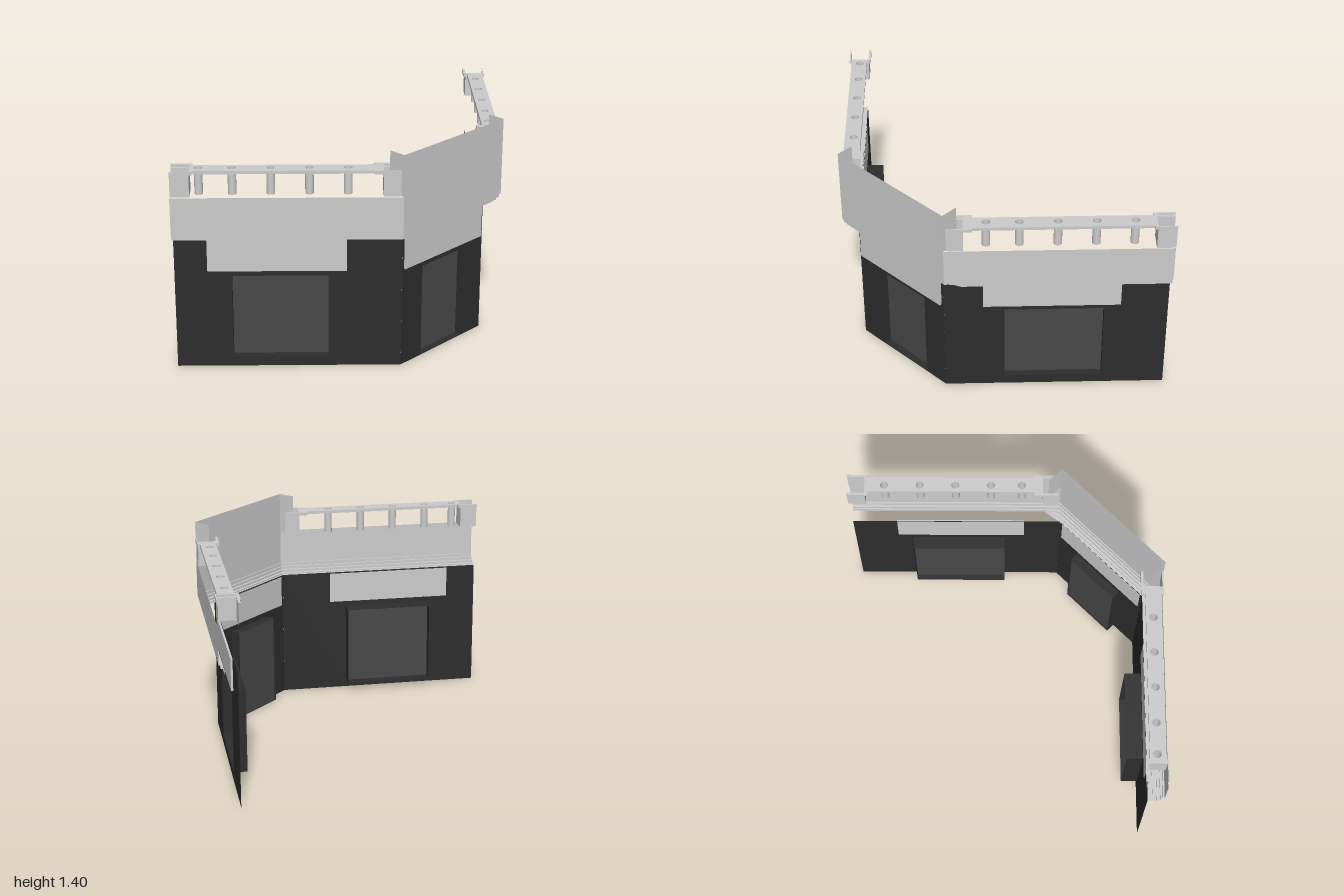
import * as THREE from 'three';

const mat = (color, flatShading = true) => new THREE.MeshStandardMaterial({ color, side: THREE.DoubleSide, flatShading });
const grey = mat(0xcccccc), smoothGrey = mat(0xcccccc, false), dark = mat(0x2d2d2d), glass = mat(0x484848);

function add(parent, name, geometry, material, x = 0, y = 0, z = 0) {
  const mesh = new THREE.Mesh(geometry, material);
  mesh.name = name;
  mesh.position.set(x, y, z);
  parent.add(mesh);
}

// Thin skin stretched between rows of [x, y, z] points
function sheet(rows) {
  const pos = [];
  for (let i = 0; i < rows.length - 1; i++) {
    for (let j = 0; j < rows[i].length - 1; j++) {
      const a = rows[i][j], b = rows[i][j + 1], c = rows[i + 1][j], d = rows[i + 1][j + 1];
      pos.push(...c, ...d, ...b, ...c, ...b, ...a);
    }
  }
  const g = new THREE.BufferGeometry();
  g.setAttribute('position', new THREE.Float32BufferAttribute(pos, 3));
  g.computeVertexNormals();
  return g;
}

const rect = (x0, x1, y0, y1, z) => sheet([[[x0, y1, z], [x1, y1, z]], [[x0, y0, z], [x1, y0, z]]]);

// Wall in the plane z = 0 with a reveal, a pane set inside it and a sign board above
function wall(parent, [w0, w1], [x0, x1, y0, y1], depth, paneDepth, [s0, s1], paneName) {
  const top = 0.85;
  add(parent, 'wallLeft', rect(w0, x0, 0, top, 0), dark);
  add(parent, 'wallRight', rect(x1, w1, 0, top, 0), dark);
  add(parent, 'wallAbove', rect(x0, x1, y1, top, 0), dark);
  if (y0 > 0) add(parent, 'wallBelow', rect(x0, x1, 0, y0, 0), dark);
  const ring = (z) => [[x0, y0, z], [x1, y0, z], [x1, y1, z], [x0, y1, z], [x0, y0, z]];
  add(parent, paneName + 'Reveal', sheet([ring(-depth), ring(0)]), dark);
  add(parent, paneName, rect(x0, x1, y0, y1, -paneDepth), glass);
  add(parent, 'signBoard', new THREE.BoxGeometry(s1 - s0, 0.205, 0.014), grey, (s0 + s1) / 2, 0.738, 0.006);
}

// Balustrade along x, standing over the plane z = offset; s mirrors it in x
function balustrade(parent, s, balusterXs, offset) {
  const group = new THREE.Group();
  group.name = 'balustrade';
  group.position.z = offset;
  parent.add(group);
  const centre = 0.025;

  // Flat rail pierced above each baluster
  const [a, b] = s > 0 ? [-0.868, 0.19] : [-0.19, 0.868];
  const shape = new THREE.Shape();
  shape.moveTo(a, -0.08).lineTo(b, -0.08).lineTo(b, 0.02).lineTo(a, 0.02).closePath();
  for (const x of balusterXs) {
    const hole = new THREE.Path();
    hole.absarc(x, -centre, 0.025, 0, Math.PI * 2, true);
    shape.holes.push(hole);
    add(group, 'baluster', new THREE.CylinderGeometry(0.025, 0.025, 0.14, 16, 1, true), smoothGrey, x, 1.21, centre);
  }
  const rail = new THREE.ExtrudeGeometry(shape, { depth: 0.02, bevelEnabled: false, curveSegments: 8 });
  rail.rotateX(-Math.PI / 2);
  add(group, 'rail', rail, grey, 0, 1.28);

  // Hollow posts, open away from the rail, each with a projecting cap
  const open = (x0, x1, z0, z1, y) => [[s * x0, y, z1], [s * x1, y, z1], [s * x1, y, z0], [s * x0, y, z0]];
  for (const [x0, x1, capX] of [[-0.998, -0.885, -0.866], [0.345, 0.243, 0.19]]) {
    add(group, 'post', sheet([1.28, 1.14].map((y) => open(x0, x1, -0.03, 0.088, y))), grey);
    add(group, 'postCap', sheet([
      open(x0, x1, -0.03, 0.088, 1.3), open(x0, capX, -0.045, 0.095, 1.3),
      open(x0, capX, -0.045, 0.095, 1.28), open(x0, x1, -0.03, 0.088, 1.28),
    ]), grey);
  }
}

export function createModel() {
  const model = new THREE.Group();
  const wing = (name, x, z, turn) => {
    const g = new THREE.Group();
    g.name = name;
    g.position.set(x, 0, z);
    g.rotation.y = turn;
    model.add(g);
    return g;
  };

  // Two wings and the angled entrance between them
  const front = wing('frontWing', 0, 0.89, 0);
  wall(front, [-0.997, 0.36], [-0.655, -0.08, 0.065, 0.6], 0.105, 0.045, [-0.8, 0.03], 'window');
  balustrade(front, 1, [-0.833, -0.638, -0.413, -0.188, 0.037], 0);

  const side = wing('leftWing', 0.885, 0, Math.PI / 2);
  wall(side, [-0.365, 0.993], [0, 0.605, 0.06, 0.6], 0.085, 0.045, [-0.13, 0.705], 'window');
  balustrade(side, -1, [-0.11, 0.085, 0.31, 0.535, 0.76], 0.017);

  const entrance = wing('entrance', 0.6225, 0.6275, Math.PI / 4);
  wall(entrance, [-0.371, 0.371], [-0.187, 0.2, 0, 0.6], 0.062, 0.05, [-0.353, 0.35], 'door');

  // Parapet and stepped cornice follow the plan of the walls
  const plan = (d, y) => {
    const outer = 0.885 + 1.1 * d, sideX = Math.max(outer, 0.96);
    return [[-1, y, 0.89 + d], [0.36, y, 0.89 + d], [outer, y, 0.36], [sideX, y, 0.26], [sideX, y, -0.995]];
  };
  add(model, 'parapet', sheet([plan(0.1, 1.14), plan(0.1, 0.91)]), grey);
  const steps = [[0.1, 0.91], [0.09, 0.91], [0.09, 0.888], [0.075, 0.888], [0.075, 0.87],
    [0.055, 0.87], [0.055, 0.855], [0.03, 0.855], [0.03, 0.846], [0, 0.846]];
  add(model, 'cornice', sheet(steps.map(([d, y]) => plan(d, y))), grey);

  // Raised panel over the entrance with short returns at both ends
  const panel = (y) => [[0.28, y, 0.91], [0.36, y, 0.99], [0.995, y, 0.36], [0.915, y, 0.28]];
  add(model, 'raisedPanel', sheet([panel(1.4), panel(1.14)]), grey);
  return model;
}
